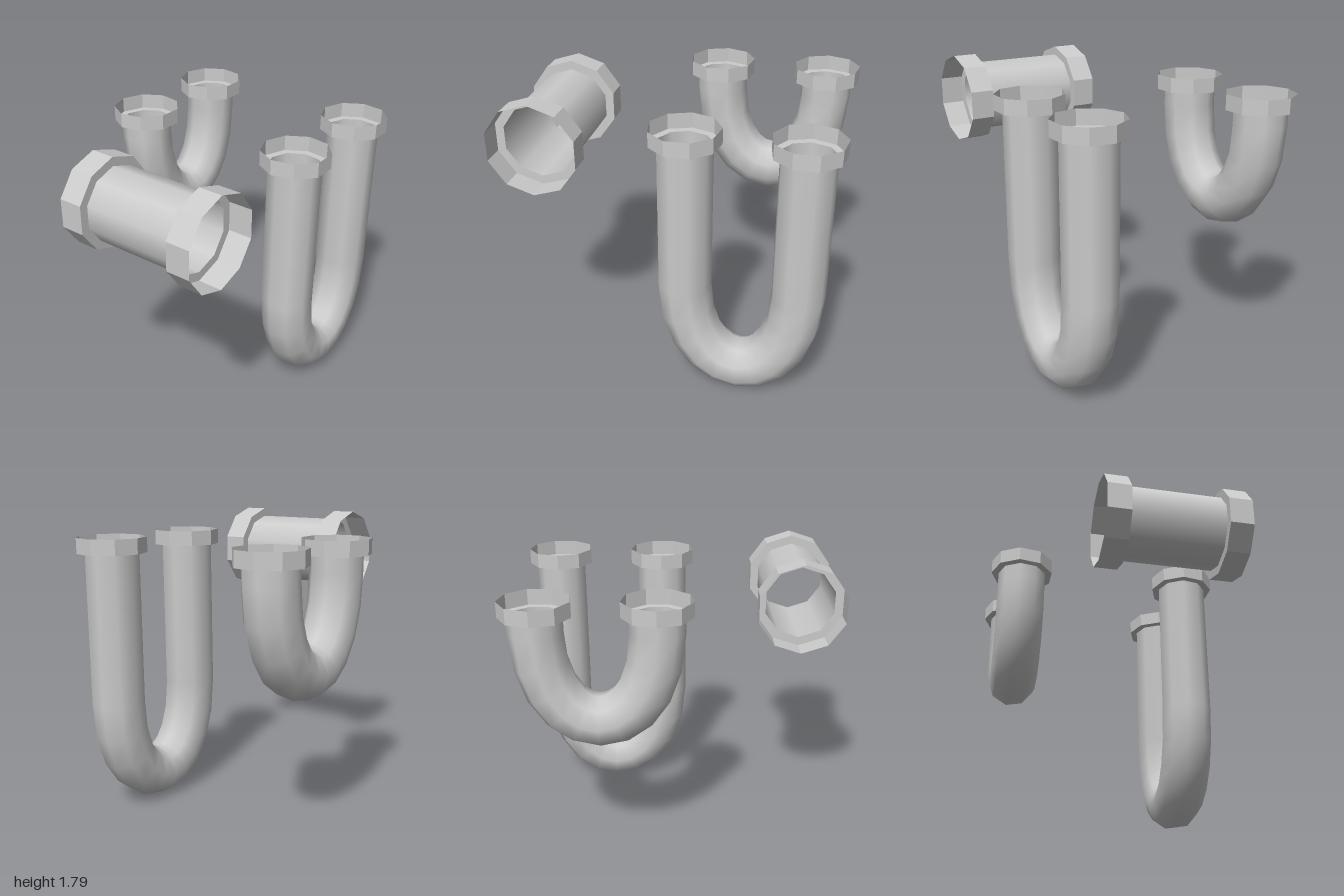
import * as THREE from 'three';

const smooth = new THREE.MeshStandardMaterial({ color: 0xcccccc, side: THREE.DoubleSide });
const faceted = new THREE.MeshStandardMaterial({ color: 0xcccccc, side: THREE.DoubleSide, flatShading: true });

const FRONT_Z = -0.12, BACK_Z = -0.795;   // the two legs of a trap
const PIPE_R = 0.16, NUT_R = 0.207;
const PIPE_TOP = 1.613, NUT_TOP = 1.705;

function addMesh(parent, name, geometry, material) {
  const mesh = new THREE.Mesh(geometry, material);
  mesh.name = name;
  parent.add(mesh);
  return mesh;
}

// Thin open collar: a flat shoulder at y0, then a wall up (or down) to y1
function collar(rInner, rOuter, y0, y1, sides, phi) {
  const profile = [[rInner, y0], [rOuter, y0], [rOuter, y1]].map(p => new THREE.Vector2(...p));
  return new THREE.LatheGeometry(profile, sides, phi);
}

// U-shaped pipe: an open cylinder whose rings are moved onto a planar path
function bentPipe(bendY) {
  const depth = 0.72, steps = 10;
  const bend = new THREE.CubicBezierCurve3(
    new THREE.Vector3(0, bendY, FRONT_Z), new THREE.Vector3(0, bendY - depth, FRONT_Z - 0.01),
    new THREE.Vector3(0, bendY - depth, BACK_Z), new THREE.Vector3(0, bendY, BACK_Z));
  const down = new THREE.Vector3(0, -1, 0), up = new THREE.Vector3(0, 1, 0);
  const rings = [{ p: new THREE.Vector3(0, PIPE_TOP, FRONT_Z), t: down }];
  for (let i = 0; i <= steps; i++) {
    const t = i === 0 ? down : i === steps ? up : bend.getTangent(i / steps);
    rings.push({ p: bend.getPoint(i / steps), t });
  }
  rings.push({ p: new THREE.Vector3(0, PIPE_TOP, BACK_Z), t: up });

  const sides = 9;
  const geo = new THREE.CylinderGeometry(PIPE_R, PIPE_R, 1, sides, rings.length - 1, true, -Math.PI / 2);
  const { position, normal } = geo.attributes;
  for (let i = 0; i < position.count; i++) {
    const { p, t } = rings[Math.floor(i / (sides + 1))];
    const x = position.getX(i), z = position.getZ(i);
    position.setXYZ(i, x, p.y + z * t.z, p.z - z * t.y);
    normal.setXYZ(i, x / PIPE_R, z * t.z / PIPE_R, -z * t.y / PIPE_R);
  }
  return geo;
}

// Pipe with a nut on each leg
function trap(name, x, bendY) {
  const group = new THREE.Group();
  group.name = name;
  group.position.x = x;
  addMesh(group, 'bentPipe', bentPipe(bendY), smooth);
  for (const [nutName, z] of [['frontNut', FRONT_Z], ['backNut', BACK_Z]]) {
    const nut = addMesh(group, nutName, collar(PIPE_R, NUT_R, PIPE_TOP, NUT_TOP, 9, -Math.PI / 2), faceted);
    nut.position.z = z;
  }
  return group;
}

// Straight sleeve with a collar at both ends, lying along x
function coupling() {
  const group = new THREE.Group();
  group.name = 'coupling';
  const r = 0.222, half = 0.292, end = 0.437, sides = 10;
  addMesh(group, 'sleeve', new THREE.CylinderGeometry(r, r, half * 2, sides, 1, true, Math.PI / 2), smooth);
  addMesh(group, 'leftCollar', collar(r, 0.276, half, end, sides, Math.PI / 2), faceted);
  addMesh(group, 'rightCollar', collar(r, 0.276, -half, -end, sides, Math.PI / 2), faceted);
  group.rotation.z = -Math.PI / 2;
  group.position.set(0.243, 1.521, 0.737);
  return group;
}

export function createModel() {
  const model = new THREE.Group();
  model.name = 'pipeFittings';
  model.add(trap('longTrap', 0.565, 0.7), trap('shortTrap', -0.562, 1.52), coupling());
  return model;
}
